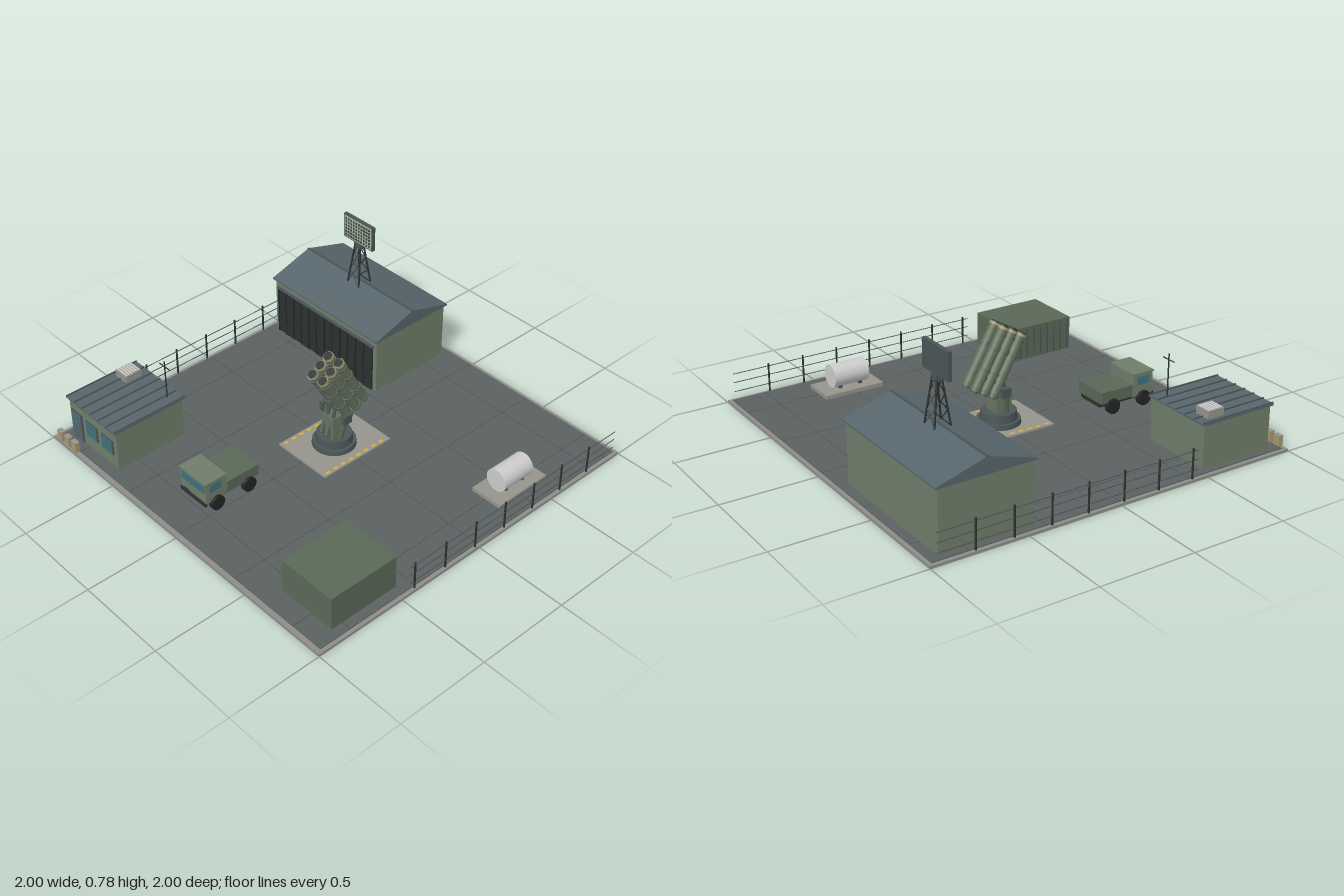
import * as THREE from 'three';

const C = {
  kerb: 0x8c8c87, slab: 0x5b6161, joint: 0x4c5252, wall: 0x6f7d69, roof: 0x56656b, dark: 0x2d3130,
  steel: 0x4b5556, green: 0x5a6857, tube: 0x63705c, pad: 0x94938c, yellow: 0xd9a93c, glass: 0x41707c,
  tan: 0xa5966f, white: 0xcccccc, black: 0x222524, cell: 0x3b4640, panel: 0xa3b09e,
};
const mats = {};
const mat = (c) => (mats[c] ??= new THREE.MeshStandardMaterial({ color: c }));
const TOP = 0.016; // paving level

function add(parent, name, geometry, color, x, y, z) {
  const m = new THREE.Mesh(geometry, mat(color));
  m.name = name;
  m.position.set(x, y, z);
  parent.add(m);
  return m;
}
// Box given by its ranges along x, y and z
function box(parent, name, color, [x0, x1], [y0, y1], [z0, z1]) {
  return add(parent, name, new THREE.BoxGeometry(x1 - x0, y1 - y0, z1 - z0), color,
    (x0 + x1) / 2, (y0 + y1) / 2, (z0 + z1) / 2);
}
function cyl(parent, name, color, rTop, rBottom, h, x, y, z, sides = 24) {
  return add(parent, name, new THREE.CylinderGeometry(rTop, rBottom, h, sides), color, x, y, z);
}
// Round bar between two points
function bar(parent, name, color, a, b, r) {
  const p = new THREE.Vector3(...a), q = new THREE.Vector3(...b);
  const m = cyl(parent, name, color, r, r, p.distanceTo(q), 0, 0, 0, 8);
  m.position.copy(p).add(q).multiplyScalar(0.5);
  m.quaternion.setFromUnitVectors(new THREE.Vector3(0, 1, 0), q.sub(p).normalize());
  return m;
}
function group(parent, name) {
  const g = new THREE.Group();
  g.name = name;
  parent.add(g);
  return g;
}

function buildGround(root) {
  const g = group(root, 'ground');
  box(g, 'kerb', C.kerb, [-1, 1], [0, 0.011], [-1, 1]);
  box(g, 'paving', C.slab, [-0.98, 0.98], [0.005, TOP], [-0.98, 0.975]);
  for (let i = -2; i <= 2; i++) {
    const s = i * 0.4;
    box(g, 'pavingJoint', C.joint, [s - 0.002, s + 0.002], [TOP - 0.001, TOP + 0.0006], [-0.98, 0.975]);
    box(g, 'pavingJoint', C.joint, [-0.98, 0.98], [TOP - 0.001, TOP + 0.0006], [s - 0.002, s + 0.002]);
  }
}

function buildHangar(root) {
  const g = group(root, 'hangar');
  box(g, 'hangarWalls', C.wall, [-0.95, -0.165], [TOP, 0.335], [-0.93, -0.445]);
  // Solid gabled roof, run along x
  const s = new THREE.Shape();
  s.moveTo(-0.257, 0); s.lineTo(0.257, 0); s.lineTo(0.257, 0.008); s.lineTo(0, 0.085); s.lineTo(-0.257, 0.008);
  const geo = new THREE.ExtrudeGeometry(s, { depth: 0.805, bevelEnabled: false }).rotateY(Math.PI / 2);
  add(g, 'hangarRoof', geo, C.roof, -0.96, 0.333, -0.688);
  box(g, 'ridgeCap', C.steel, [-0.96, -0.155], [0.414, 0.421], [-0.694, -0.682]);
  box(g, 'doorTrack', C.steel, [-0.93, -0.18], [0.288, 0.297], [-0.445, -0.43]);
  const n = 12, w = 0.73 / n;
  for (let i = 0; i < n; i++) {
    const x = -0.92 + i * w, step = i % 2 ? 0.003 : 0;
    box(g, 'doorPanel', C.dark, [x + 0.001, x + w - 0.001], [TOP, 0.29], [-0.446, -0.437 + step]);
    box(g, 'doorRib', C.black, [x - 0.003, x + 0.003], [TOP, 0.29], [-0.446, -0.432]);
  }
}

function buildRadar(root) {
  const g = group(root, 'radar');
  const cx = -0.555, cz = -0.685;
  const leg = (sx, sz, t) => [cx + sx * (0.042 - 0.022 * t), 0.405 + 0.225 * t, cz + sz * (0.042 - 0.03 * t)];
  const corners = [[-1, -1], [1, -1], [1, 1], [-1, 1]];
  corners.forEach(([sx, sz], i) => {
    const [nx, nz] = corners[(i + 1) % 4];
    bar(g, 'mastLeg', C.dark, leg(sx, sz, 0), leg(sx, sz, 1), 0.005);
    for (let k = 0; k < 3; k++) bar(g, 'mastBrace', C.dark, leg(sx, sz, k / 3), leg(nx, nz, (k + 1) / 3), 0.0025);
  });
  box(g, 'mastHead', C.steel, [cx - 0.025, cx + 0.025], [0.615, 0.65], [cz - 0.016, cz + 0.016]);
  box(g, 'radarBack', C.steel, [-0.662, -0.448], [0.643, 0.782], [-0.694, -0.674]);
  box(g, 'radarFace', C.panel, [-0.655, -0.455], [0.65, 0.775], [-0.68, -0.671]);
  for (let i = 0; i < 10; i++) for (let j = 0; j < 6; j++) {
    const x = -0.641 + i * 0.0191, y = 0.664 + j * 0.0194;
    box(g, 'radarCell', C.cell, [x - 0.006, x + 0.006], [y - 0.006, y + 0.006], [-0.672, -0.669]);
  }
}

function buildControlHut(root) {
  const g = group(root, 'controlHut');
  box(g, 'hutWalls', C.wall, [-0.945, -0.56], [TOP, 0.242], [0.51, 0.915]);
  box(g, 'hutRoof', C.roof, [-0.956, -0.55], [0.242, 0.252], [0.497, 0.926]);
  for (let i = 0; i < 7; i++) {
    const x = -0.95 + i * 0.0657;
    box(g, 'roofRib', C.steel, [x - 0.003, x + 0.003], [0.251, 0.258], [0.497, 0.926]);
  }
  box(g, 'hutDoorFrame', C.steel, [-0.932, -0.844], [TOP, 0.186], [0.91, 0.921]);
  box(g, 'hutDoor', C.roof, [-0.925, -0.851], [TOP, 0.179], [0.912, 0.925]);
  box(g, 'doorGlass', C.glass, [-0.91, -0.866], [0.11, 0.165], [0.92, 0.927]);
  for (const x of [-0.764, -0.634]) {
    box(g, 'windowFrame', C.steel, [x - 0.047, x + 0.047], [0.091, 0.179], [0.91, 0.921]);
    box(g, 'windowGlass', C.glass, [x - 0.041, x + 0.041], [0.097, 0.173], [0.912, 0.924]);
  }
  // Roof cooler with slats
  box(g, 'cooler', C.pad, [-0.922, -0.835], [0.252, 0.291], [0.55, 0.645]);
  for (let i = 0; i < 6; i++) {
    const z = 0.56 + i * 0.015;
    box(g, 'coolerSlat', C.white, [-0.918, -0.839], [0.29, 0.295], [z - 0.004, z + 0.004]);
  }
  bar(g, 'aerial', C.dark, [-0.61, 0.25, 0.562], [-0.61, 0.47, 0.562], 0.0035);
  bar(g, 'aerialCross', C.dark, [-0.65, 0.44, 0.562], [-0.57, 0.44, 0.562], 0.003);
  // Crates at the kerb
  for (const x of [-0.945, -0.885, -0.827]) {
    box(g, 'crate', C.tan, [x - 0.018, x + 0.018], [0.01, 0.066], [0.972, 0.997]);
    box(g, 'crateLid', C.pad, [x - 0.019, x + 0.019], [0.064, 0.071], [0.971, 0.998]);
  }
}

function buildLauncher(root) {
  const g = group(root, 'launcher');
  box(g, 'launchPad', C.pad, [-0.173, 0.17], [TOP, 0.025], [-0.225, 0.215]);
  for (const x of [-0.155, 0.155]) for (let i = 0; i < 8; i++) {
    const z = -0.175 + i * 0.051;
    box(g, 'padDash', C.yellow, [x - 0.008, x + 0.008], [0.024, 0.0265], [z - 0.013, z + 0.013]);
  }
  cyl(g, 'turntableBase', C.steel, 0.11, 0.113, 0.025, 0, 0.0375, 0, 32);
  cyl(g, 'turntable', C.steel, 0.09, 0.095, 0.045, 0, 0.07, 0, 32);
  const ped = cyl(g, 'pedestal', C.tube, 0.05, 0.07, 0.12, 0, 0.145, 0.005, 4);
  ped.geometry.rotateY(Math.PI / 4);
  ped.geometry = ped.geometry.toNonIndexed();
  ped.geometry.computeVertexNormals();
  for (const s of [-1, 1]) {
    bar(g, 'yoke', C.green, [s * 0.055, 0.09, 0.01], [s * 0.078, 0.225, -0.01], 0.014);
    const x = s * 0.08;
    box(g, 'trunnion', C.steel, [x - 0.012, x + 0.012], [0.188, 0.236], [-0.035, 0.015]);
    bar(g, 'elevatingRam', C.steel, [s * 0.02, 0.1, 0.055], [s * 0.02, 0.29, 0], 0.009);
  }
  // Six tubes tipped forward
  const pack = group(g, 'tubePack');
  pack.position.set(0, 0.364, -0.026);
  pack.rotation.x = THREE.MathUtils.degToRad(29.5);
  for (const x of [-0.037, 0.037]) for (const z of [-0.058, 0, 0.058]) {
    cyl(pack, 'tube', C.tube, 0.026, 0.026, 0.345, x, 0, z);
    for (const y of [-0.16, -0.06, 0.05, 0.13]) cyl(pack, 'tubeBand', C.green, 0.0295, 0.0295, 0.012, x, y, z);
    cyl(pack, 'tubeRim', C.tan, 0.0285, 0.0285, 0.012, x, 0.163, z);
    cyl(pack, 'tubeMouth', C.dark, 0.022, 0.022, 0.006, x, 0.172, z);
    cyl(pack, 'tubeTail', C.dark, 0.021, 0.021, 0.006, x, -0.174, z);
  }
  for (const y of [-0.1, 0.06]) box(pack, 'packFrame', C.steel, [-0.045, 0.045], [y - 0.008, y + 0.008], [-0.07, 0.07]);
}

function buildTruck(root) {
  const g = group(root, 'truck');
  const cx = -0.118;
  box(g, 'chassis', C.dark, [-0.19, -0.045], [0.05, 0.078], [0.48, 0.795]);
  box(g, 'cargoBed', C.green, [-0.215, -0.02], [0.075, 0.138], [0.475, 0.668]);
  box(g, 'cab', C.wall, [-0.213, -0.022], [0.068, 0.188], [0.672, 0.795]);
  box(g, 'cabRoof', C.wall, [-0.216, -0.019], [0.184, 0.193], [0.67, 0.8]);
  box(g, 'windscreen', C.glass, [-0.203, -0.032], [0.128, 0.175], [0.79, 0.798]);
  box(g, 'bumper', C.dark, [-0.213, -0.022], [0.055, 0.073], [0.79, 0.803]);
  for (const s of [-1, 1]) {
    const x = cx + s * 0.095;
    box(g, 'sideWindow', C.glass, [x - 0.002, x + 0.002], [0.128, 0.172], [0.7, 0.77]);
    for (const z of [0.54, 0.735])
      cyl(g, 'wheel', C.black, 0.039, 0.039, 0.026, cx + s * 0.1, 0.055, z).rotation.z = Math.PI / 2;
  }
}

function buildContainer(root) {
  const g = group(root, 'container');
  box(g, 'containerBody', C.green, [0.603, 0.93], [TOP, 0.2], [0.475, 0.865]);
  for (let i = 0; i < 9; i++) {
    const z = 0.495 + i * 0.0438;
    box(g, 'containerRib', C.steel, [0.597, 0.605], [0.025, 0.19], [z - 0.004, z + 0.004]);
  }
}

function buildTank(root) {
  const g = group(root, 'fuelTank');
  box(g, 'tankPlinth', C.pad, [0.713, 0.893], [TOP, 0.037], [-0.58, -0.25]);
  cyl(g, 'tank', C.white, 0.061, 0.061, 0.195, 0.803, 0.1, -0.412, 32).rotation.x = Math.PI / 2;
  for (const z of [-0.47, -0.355]) box(g, 'tankSaddle', C.steel, [0.765, 0.841], [0.035, 0.055], [z - 0.008, z + 0.008]);
}

function buildFences(root) {
  for (const s of [-1, 1]) {
    const g = group(root, s > 0 ? 'leftFence' : 'rightFence');
    const x = s * 0.988;
    for (let i = 0; i < 7; i++) {
      const z = 0.414 - i * 0.197;
      bar(g, 'fencePost', C.dark, [x, 0.01, z], [x, 0.167, z], 0.005);
    }
    for (const y of [0.055, 0.105, 0.153]) bar(g, 'fenceWire', C.steel, [x, y, 0.445], [x, y, -0.965], 0.0022);
  }
}

export function createModel() {
  const root = new THREE.Group();
  root.name = 'airDefenceBase';
  for (const build of [buildGround, buildHangar, buildRadar, buildControlHut, buildLauncher,
    buildTruck, buildContainer, buildTank, buildFences]) build(root);
  return root;
}
